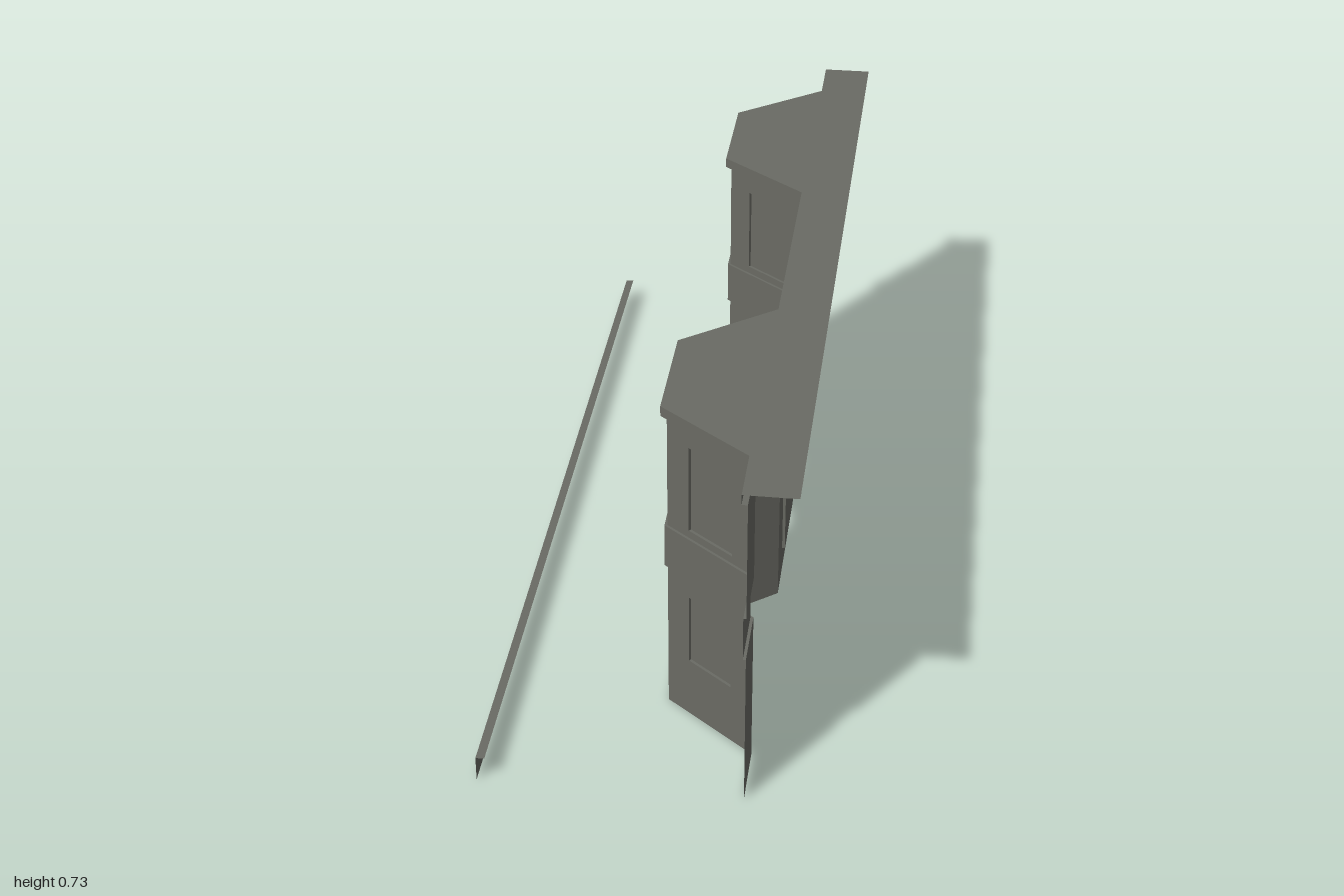
import * as THREE from 'three';

const stone = new THREE.MeshStandardMaterial({ color: 0x6a6b64, side: THREE.DoubleSide });
stone.name = 'grey stone';

const FLAT_X = 0.222, BAY_X = 0.031, Z0 = -0.95, Z1 = 0.99;
const BAYS = [-0.535, 0.575];
const RECESS = 0.006;

// plan outline of the facade, pushed outwards by d
function outline(d) {
  const e = d * 0.36, pts = [[FLAT_X - d, Z0]];
  for (const c of BAYS) {
    pts.push([FLAT_X - d, c - 0.278 - e], [BAY_X - d, c - 0.124 - e],
      [BAY_X - d, c + 0.124 + e], [FLAT_X - d, c + 0.278 + e]);
  }
  pts.push([FLAT_X - d, Z1]);
  return pts;
}

function add(parent, geometry, name) {
  const mesh = new THREE.Mesh(geometry, stone);
  mesh.name = name;
  parent.add(mesh);
  return mesh;
}

// flat surface through loops of corners
function quad(a, b, c, d) {
  const g = new THREE.BufferGeometry();
  g.setAttribute('position', new THREE.Float32BufferAttribute([...a, ...b, ...c, ...a, ...c, ...d], 3));
  g.computeVertexNormals();
  return g;
}

// upright wall between two plan points, with recessed openings [u0, u1, y0, y1]
function wallPanel(parent, p, q, y0, y1, openings, name) {
  const dir = new THREE.Vector3(q[0] - p[0], 0, q[1] - p[1]);
  const len = dir.length();
  dir.normalize();
  const up = new THREE.Vector3(0, 1, 0);
  const m = new THREE.Matrix4().makeBasis(dir, up, dir.clone().cross(up)).setPosition(p[0], 0, p[1]);
  const rect = (T, a, b, c, d) => new T().moveTo(a, c).lineTo(b, c).lineTo(b, d).lineTo(a, d).closePath();
  const shape = rect(THREE.Shape, 0, len, y0, y1);
  for (const [a, b, c, d] of openings) {
    shape.holes.push(rect(THREE.Path, a, b, c, d));
    // shallow box with its outer face left off
    const box = new THREE.BoxGeometry(b - a, d - c, RECESS);
    const idx = Array.from(box.index.array);
    idx.splice(24, 6);
    box.setIndex(idx);
    box.clearGroups();
    box.translate((a + b) / 2, (c + d) / 2, -RECESS / 2);
    add(parent, box.applyMatrix4(m), c < 0.1 ? 'doorRecess' : 'windowRecess');
  }
  add(parent, new THREE.ShapeGeometry(shape).applyMatrix4(m), name);
}

export function createModel() {
  const model = new THREE.Group();
  model.name = 'terraceFacade';
  const facade = new THREE.Group();
  facade.name = 'facade';
  model.add(facade);

  const doors = [[-0.17, -0.035], [0.07, 0.207]];

  // storeys, string course and cornice: [outward offset, bottom, top, name]
  const levels = [
    [0, 0, 0.347, 'lowerWall'],
    [0.006, 0.347, 0.445, 'stringCourse'],
    [0, 0.445, 0.705, 'upperWall'],
    [0.012, 0.705, 0.727, 'cornice'],
  ];
  levels.forEach(([d, y0, y1, name], level) => {
    const pts = outline(d);
    for (let i = 0; i < pts.length - 1; i++) {
      const p = pts[i], q = pts[i + 1], openings = [];
      const len = Math.hypot(q[0] - p[0], q[1] - p[1]);
      if (d === 0) {
        const upper = level === 2;
        if (i === 4) {
          // doors below and windows above on the middle wall
          for (const [a, b] of doors) {
            const s = upper ? 0.01 : 0;
            openings.push([a + s - p[1], b - s - p[1], upper ? 0.46 : 0.06, upper ? 0.654 : 0.311]);
          }
        } else if (i > 0 && i < pts.length - 2) {
          // one window centred on each bay face
          openings.push([len / 2 - 0.061, len / 2 + 0.061, upper ? 0.462 : 0.137, upper ? 0.657 : 0.297]);
        }
      }
      wallPanel(facade, p, q, y0, y1, openings, name);
    }
    // ledge joining this level to the one above
    if (level < levels.length - 1) {
      const next = outline(levels[level + 1][0]);
      for (let i = 0; i < pts.length - 1; i++) {
        const [a, b, c, e] = [pts[i], pts[i + 1], next[i + 1], next[i]].map(([x, z]) => [x, y1, z]);
        add(facade, quad(a, b, c, e), 'ledge');
      }
    }
  });

  // flat roof following the cornice
  const edge = [...outline(0.012), [0.318, Z1], [0.318, Z0]];
  const roof = new THREE.ShapeGeometry(new THREE.Shape(edge.map(([x, z]) => new THREE.Vector2(x, -z))));
  roof.rotateX(-Math.PI / 2).translate(0, 0.727, 0);
  add(model, roof, 'roof');

  // sloped door ramps
  for (const [a, b] of doors) {
    const ramp = new THREE.Group();
    ramp.name = 'doorRamp';
    const x0 = 0.133;
    add(ramp, quad([x0, 0, a], [x0, 0, b], [FLAT_X, 0.06, b], [FLAT_X, 0.06, a]), 'rampSlope');
    for (const z of [a, b]) {
      const side = new THREE.BufferGeometry();
      const s = z === a ? [x0, 0, z, FLAT_X, 0.06, z, FLAT_X, 0, z] : [x0, 0, z, FLAT_X, 0, z, FLAT_X, 0.06, z];
      side.setAttribute('position', new THREE.Float32BufferAttribute(s, 3));
      side.computeVertexNormals();
      add(ramp, side, 'rampSide');
    }
    model.add(ramp);
  }

  // low garden wall: outer face and coping
  const wall = new THREE.Group();
  wall.name = 'gardenWall';
  const h = 0.055, xo = -0.318, xi = -0.3;
  add(wall, quad([xo, 0, -1], [xo, 0, 1], [xo, h, 1], [xo, h, -1]), 'gardenWallFace');
  add(wall, quad([xo, h, -1], [xo, h, 1], [xi, h, 1], [xi, h, -1]), 'gardenWallCoping');
  model.add(wall);

  return model;
}
